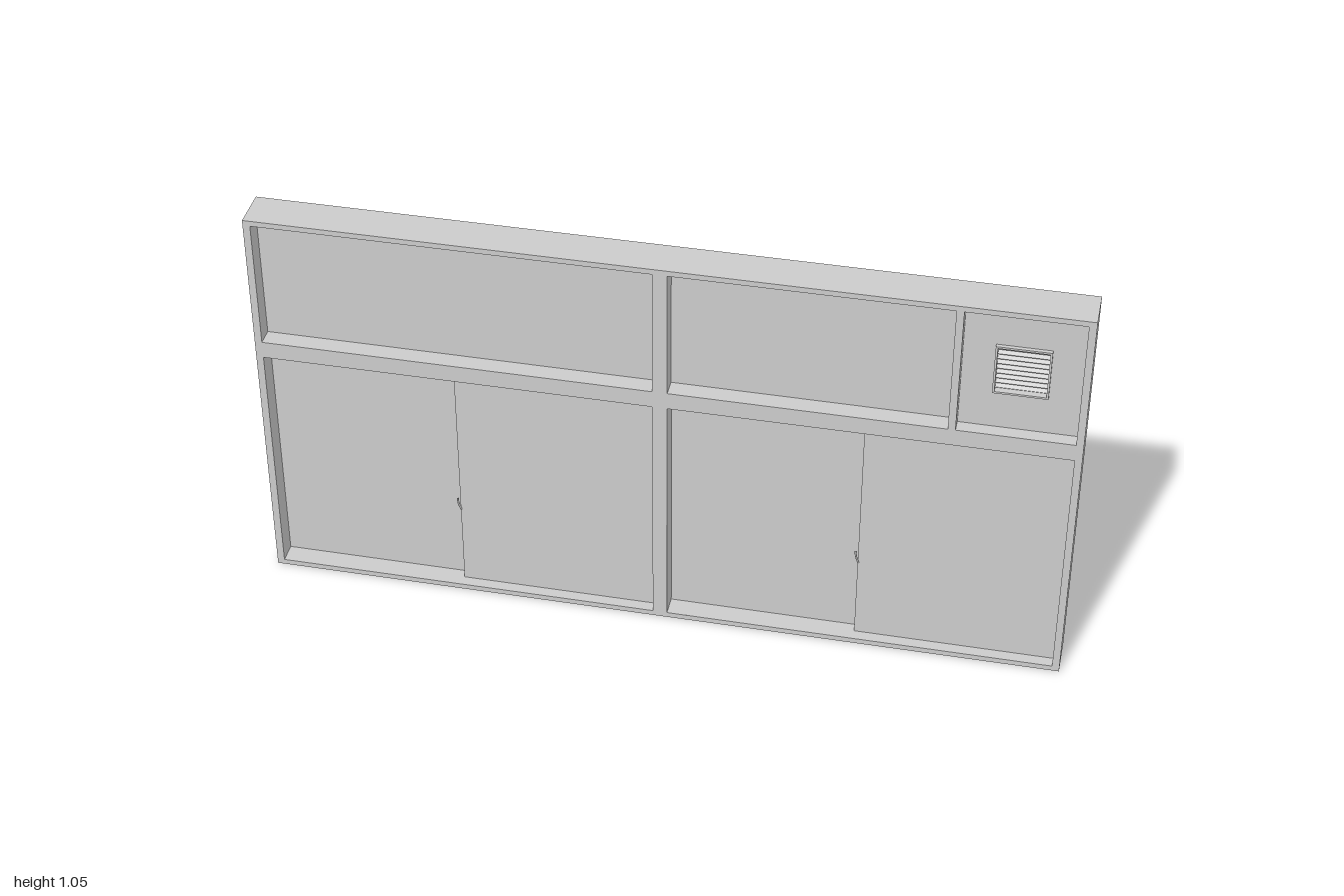
import * as THREE from 'three';

const W = 2, H = 1.05, D = 0.104;

export function createModel() {
  const model = new THREE.Group();
  const mat = new THREE.MeshStandardMaterial({ color: 0xcccccc });

  function add(name, geometry, parent = model) {
    const mesh = new THREE.Mesh(geometry, mat);
    mesh.name = name;
    parent.add(mesh);
    return mesh;
  }
  // Box given by its limits on each axis
  function slab(name, x0, x1, y0, y1, z0, z1, parent) {
    const m = add(name, new THREE.BoxGeometry(x1 - x0, y1 - y0, z1 - z0), parent);
    m.position.set((x0 + x1) / 2, (y0 + y1) / 2, (z0 + z1) / 2);
    return m;
  }
  function rect(Type, x0, x1, y0, y1) {
    return new Type([[x0, y0], [x1, y0], [x1, y1], [x0, y1]].map(p => new THREE.Vector2(...p)));
  }
  // Flat plate with rectangular openings, centred on z
  function plate(name, outer, holes, depth, parent) {
    const shape = rect(THREE.Shape, ...outer);
    for (const h of holes) shape.holes.push(rect(THREE.Path, ...h));
    const g = new THREE.ExtrudeGeometry(shape, { depth, bevelEnabled: false });
    g.translate(0, 0, -depth / 2);
    return add(name, g, parent);
  }

  // Outer frame with lower door openings and upper window openings
  const openings = [];
  for (const cx of [-0.5, 0.5]) {
    openings.push([cx - 0.482, cx + 0.482, 0.014, 0.655]);
    if (cx < 0) openings.push([-0.982, -0.018, 0.70, 1.036]);
  }
  openings.push([0.018, 0.684, 0.70, 1.036], [0.702, 0.982, 0.70, 1.036]);
  plate('frame', [-W / 2, W / 2, 0, H], openings, D);

  // Sliding door pairs: the left leaf runs on the front track, overlapping the rear one
  for (const cx of [-0.5, 0.5]) {
    const pair = new THREE.Group();
    pair.name = 'slidingDoors';
    pair.position.x = cx;
    model.add(pair);
    slab('rearDoor', -0.482, 0.013, 0.014, 0.655, -0.023, -0.001, pair);
    slab('frontDoor', -0.013, 0.482, 0.014, 0.655, 0.001, 0.023, pair);

    // Small curved pull on the edge of the front leaf
    const curve = new THREE.CatmullRomCurve3([
      new THREE.Vector3(-0.012, 0.236, 0.022),
      new THREE.Vector3(-0.015, 0.248, 0.025),
      new THREE.Vector3(-0.018, 0.26, 0.026),
      new THREE.Vector3(-0.019, 0.273, 0.024),
    ]);
    add('doorPull', new THREE.TubeGeometry(curve, 10, 0.0025, 8), pair);
  }

  // Fixed upper panes
  slab('upperPane', -0.982, -0.018, 0.70, 1.036, -0.006, 0.006);
  slab('upperPane', 0.018, 0.684, 0.70, 1.036, -0.006, 0.006);

  // Vent panel with a through opening
  const v = [0.777, 0.907, 0.802, 0.934];
  plate('ventPanel', [0.702, 0.982, 0.70, 1.036], [v], 0.036);

  // Louvre: thin surround and slats sloping down to the front
  const vent = new THREE.Group();
  vent.name = 'vent';
  model.add(vent);
  const t = 0.005;
  plate('ventSurround', v, [[v[0] + t, v[1] - t, v[2] + t, v[3] - t]], 0.056, vent);
  const count = 9, pitch = (v[3] - v[2] - 2 * t) / count;
  for (let i = 0; i < count; i++) {
    const slat = add('slat', new THREE.BoxGeometry(v[1] - v[0] - 2 * t, 0.0025, 0.026), vent);
    slat.position.set((v[0] + v[1]) / 2, v[2] + t + pitch * (i + 0.5), 0);
    slat.rotation.x = 0.5;
  }
  return model;
}
